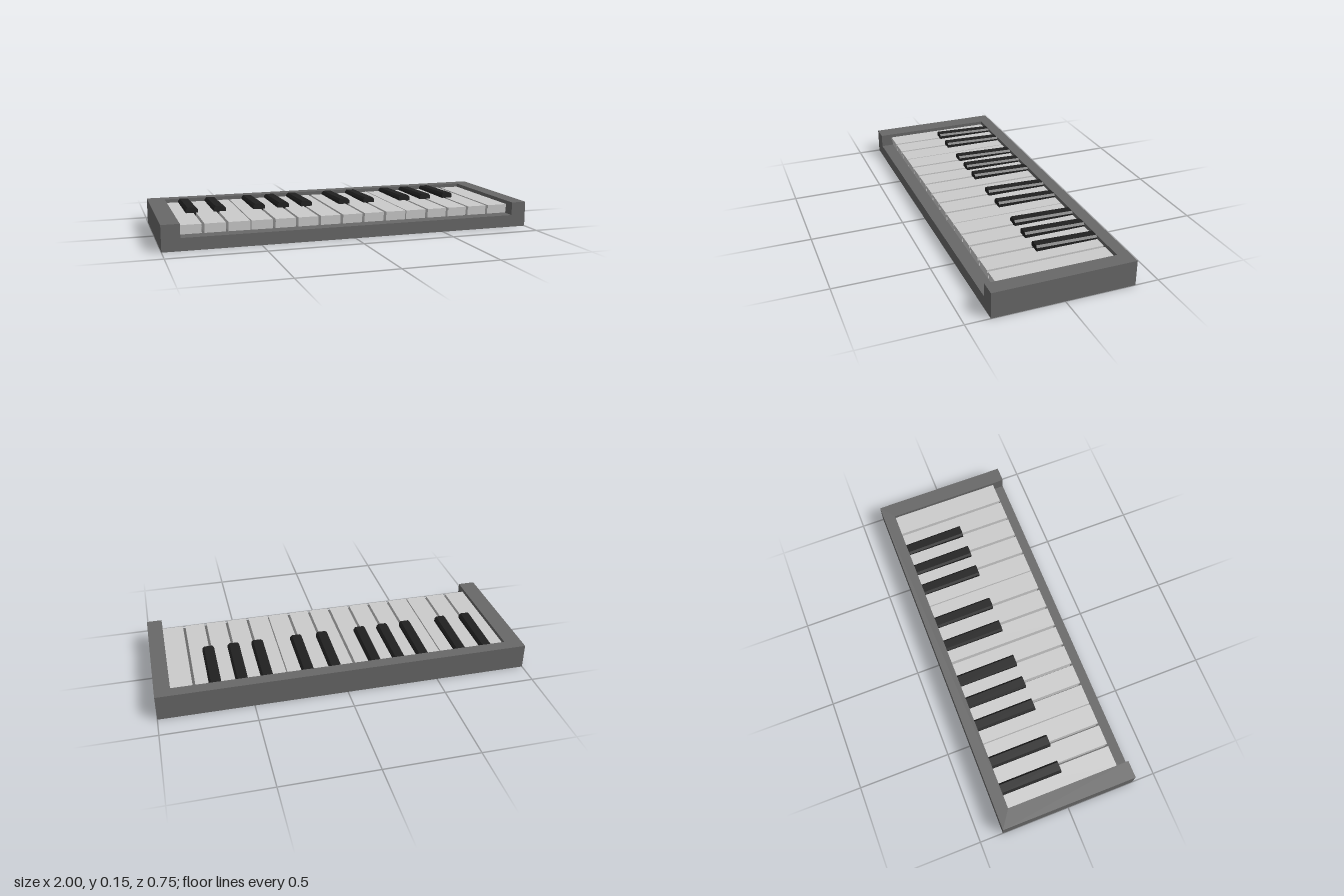
import * as THREE from 'three';

const material = (color) => new THREE.MeshStandardMaterial({ color, flatShading: true });

export function createModel() {
  const model = new THREE.Group();
  const caseMat = material(0x686868);
  const whiteMat = material(0xcccccc);
  const blackMat = material(0x202020);

  const add = (parent, name, geometry, mat) => {
    const mesh = new THREE.Mesh(geometry, mat);
    mesh.name = name;
    parent.add(mesh);
    return mesh;
  };
  const block = (x0, x1, y0, y1, z0, z1) =>
    new THREE.BoxGeometry(x1 - x0, y1 - y0, z1 - z0)
      .translate((x0 + x1) / 2, (y0 + y1) / 2, (z0 + z1) / 2);

  const W = 1, D = 0.373, H = 0.137, floor = 0.066;
  const left = -0.906, right = 0.917, back = -0.308, front = 0.31;

  // Case: a flat base with a U-shaped rim, open at the front
  add(model, 'caseBase', block(-W, W, 0, floor, -D, D), caseMat);
  const rim = new THREE.Shape([
    [-W, -D], [left, -D], [left, -back], [right, -back],
    [right, -D], [W, -D], [W, D], [-W, D],
  ].map(([x, y]) => new THREE.Vector2(x, y)));
  const rimGeo = new THREE.ExtrudeGeometry(rim, { depth: H - floor, bevelEnabled: false });
  rimGeo.rotateX(-Math.PI / 2).translate(0, floor, 0);
  add(model, 'caseRim', rimGeo, caseMat);

  // White keys: a thin top slab with a small lip over the key body
  const whiteKeys = new THREE.Group();
  whiteKeys.name = 'whiteKeys';
  model.add(whiteKeys);
  const count = 15, pitch = (right - left) / count;
  const gapAt = (i) => (i === 0 || i === count ? 0 : i === 3 || i === 10 ? 0.006 : 0.014);
  for (let i = 0; i < count; i++) {
    const x0 = left + i * pitch + gapAt(i) / 2;
    const x1 = left + (i + 1) * pitch - gapAt(i + 1) / 2;
    add(whiteKeys, 'whiteKeyTop', block(x0, x1, 0.1, 0.117, back, front), whiteMat);
    add(whiteKeys, 'whiteKeyBody', block(x0, x1, floor + 0.002, 0.1, back, front - 0.006), whiteMat);
  }

  // Black keys: chamfered bars whose tops fall gently toward the back
  const blackKeys = new THREE.Group();
  blackKeys.name = 'blackKeys';
  model.add(blackKeys);
  const section = new THREE.Shape([
    [-0.032, 0.112], [0.032, 0.112], [0.032, 0.135],
    [0.022, 0.146], [-0.022, 0.146], [-0.032, 0.135],
  ].map(([x, y]) => new THREE.Vector2(x, y)));
  const keyFront = 0.023, keyLength = keyFront - back;
  const barGeo = new THREE.ExtrudeGeometry(section, { depth: keyLength, bevelEnabled: false });
  barGeo.translate(0, 0, back);
  const pos = barGeo.attributes.position;
  for (let i = 0; i < pos.count; i++) {
    if (pos.getY(i) > 0.12) {
      pos.setY(i, pos.getY(i) - 0.009 * (keyFront - pos.getZ(i)) / keyLength);
    }
  }
  barGeo.computeVertexNormals();
  const stemGeo = block(-0.006, 0.006, floor + 0.002, 0.112, back, keyFront);
  const bars = [-0.8, -0.65, -0.435, -0.3, -0.167, 0.053, 0.2, 0.418, 0.55, 0.688];
  const seams = [1, 2, 4, 5, 6, 8, 9, 11, 12, 13];
  bars.forEach((x, i) => {
    add(blackKeys, 'blackKey', barGeo, blackMat).position.x = x;
    add(blackKeys, 'blackKeyStem', stemGeo, blackMat).position.x = left + seams[i] * pitch;
  });

  return model;
}
